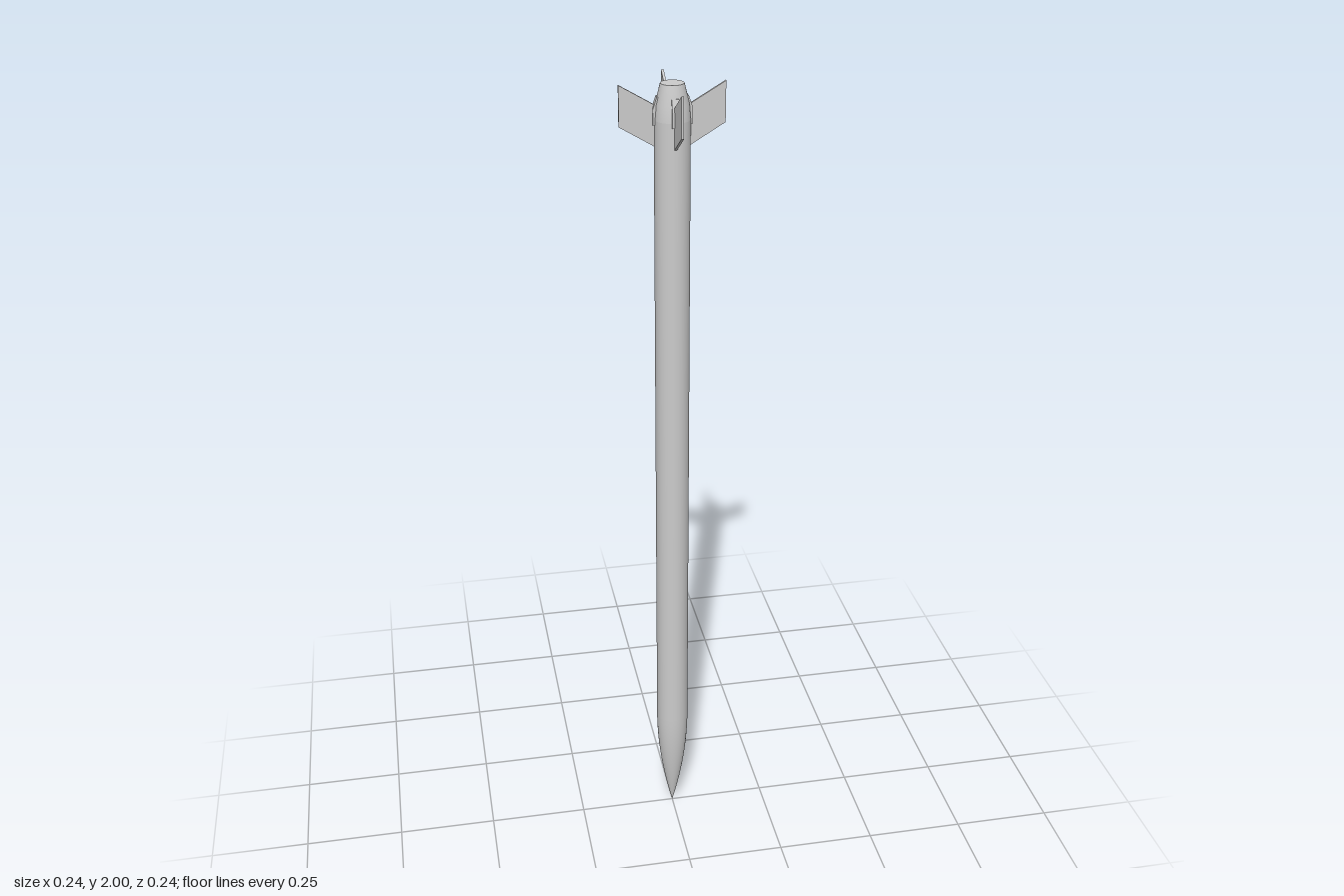
import * as THREE from 'three';

const grey = () => new THREE.MeshStandardMaterial({ color: 0xcccccc });

function add(parent, name, geometry) {
  const mesh = new THREE.Mesh(geometry, grey());
  mesh.name = name;
  parent.add(mesh);
  return mesh;
}

// Surface of revolution from [radius, height] pairs, listed upwards
const lathe = (points) =>
  new THREE.LatheGeometry(points.map(([r, y]) => new THREE.Vector2(r, y)), 48);

// Flat plate in the x-y plane, centred on z = 0
function plate(points, thickness) {
  const shape = new THREE.Shape(points.map(([x, y]) => new THREE.Vector2(x, y)));
  return new THREE.ExtrudeGeometry(shape, { depth: thickness, bevelEnabled: false })
    .translate(0, 0, -thickness / 2);
}

export function createModel() {
  const rocket = new THREE.Group();
  rocket.name = 'rocket';
  const radius = 0.041;
  const noseTop = 0.3;
  const tailStart = 1.92;

  // Ogive nose, pointing down
  const nose = [];
  for (let i = 0; i <= 20; i++) {
    const t = i / 20;
    nose.push([radius * (1 - Math.pow(1 - t, 1.9)), noseTop * t]);
  }
  add(rocket, 'noseCone', lathe(nose));

  // Straight tube and tapered tail with a flat end
  add(rocket, 'bodyTube', lathe([[radius, noseTop], [radius, tailStart]]));
  add(rocket, 'tailCone', lathe([[radius, tailStart], [0.038, 1.955], [0.027, 2]]));
  const cap = add(rocket, 'tailCap', new THREE.CircleGeometry(0.027, 48));
  cap.rotation.x = -Math.PI / 2;
  cap.position.y = 2;

  // Four swept fins, each with a root fairing
  for (let i = 0; i < 4; i++) {
    const unit = new THREE.Group();
    unit.name = 'finUnit' + (i + 1);
    unit.rotation.y = (i * Math.PI) / 2;
    add(unit, 'fin', plate([[0.034, 1.857], [0.12, 1.908], [0.12, 2], [0.034, 1.95]], 0.006));
    add(unit, 'finRoot', plate(
      [[0.03, 1.91], [0.045, 1.91], [0.045, 1.945], [0.036, 1.972], [0.03, 1.972]], 0.016));
    rocket.add(unit);
  }
  return rocket;
}
